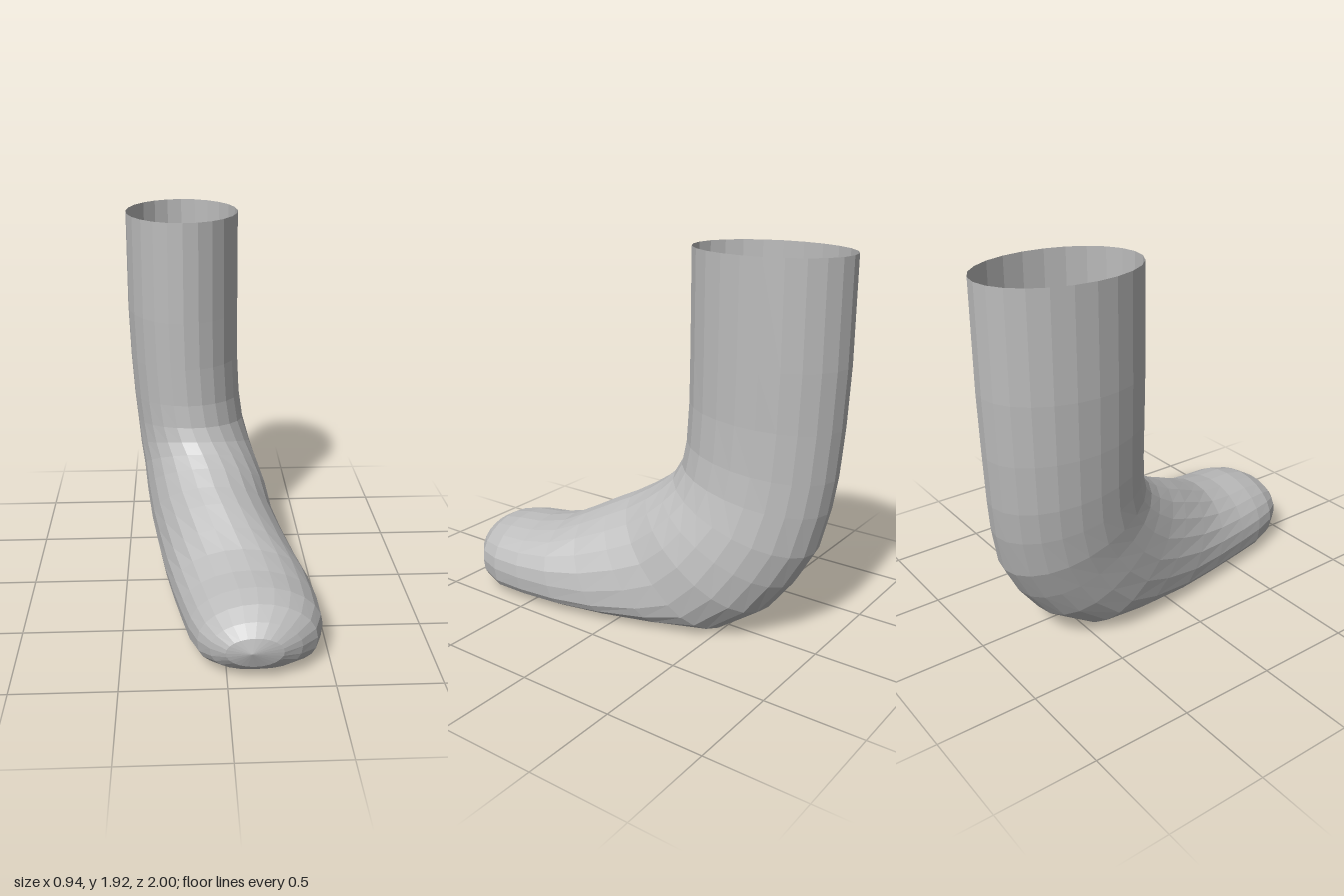
import * as THREE from 'three';

const SIDES = 24;

// Each row is one cross-section:
// upper point (z, y), lower point (z, y), right edge x, left edge x, height of the side ridge, squareness below it
const SECTIONS = [
  [-0.17, 1.92, -1.0, 1.92, -0.475, 0.13, 0.5, 2],
  [-0.17, 1.4, -1.0, 1.4, -0.475, 0.13, 0.5, 2],
  [-0.17, 1.15, -0.99, 1.1, -0.465, 0.13, 0.5, 2],
  [-0.165, 0.95, -0.975, 0.85, -0.45, 0.14, 0.5, 2],
  [-0.15, 0.83, -0.955, 0.68, -0.435, 0.16, 0.5, 2],
  [-0.12, 0.76, -0.91, 0.47, -0.42, 0.2, 0.5, 2],
  [-0.07, 0.71, -0.82, 0.3, -0.4, 0.24, 0.5, 2.1],
  [0.0, 0.66, -0.7, 0.14, -0.385, 0.28, 0.48, 2.2],
  [0.1, 0.6, -0.5, 0.01, -0.36, 0.31, 0.44, 2.5],
  [0.2, 0.55, -0.25, 0, -0.33, 0.35, 0.38, 3],
  [0.33, 0.48, 0.05, 0, -0.29, 0.405, 0.33, 3.4],
  [0.45, 0.42, 0.3, 0, -0.25, 0.45, 0.35, 3.5],
  [0.6, 0.385, 0.52, 0, -0.21, 0.47, 0.38, 3.5],
  [0.74, 0.375, 0.7, 0, -0.175, 0.47, 0.4, 3.5],
  [0.85, 0.35, 0.83, 0.01, -0.135, 0.43, 0.43, 3],
  [0.93, 0.305, 0.91, 0.04, -0.08, 0.35, 0.47, 2.5],
  [0.98, 0.25, 0.965, 0.09, -0.01, 0.26, 0.5, 2],
  [1.0, 0.18, 1.0, 0.18, 0.11, 0.11, 0.5, 2],
];

// Point on a section: round above the ridge, squarer and flat-bottomed below it
function sectionPoint([pz, py, qz, qy, xl, xr, ridge, n], angle) {
  const c = Math.cos(angle), s = Math.sin(angle);
  const power = 2 / (s < 0 ? n : 2);
  const u = Math.sign(c) * Math.abs(c) ** power;
  const v = Math.abs(s) ** power;
  const h = s < 0 ? ridge * (1 - v) : ridge + (1 - ridge) * v;
  return [(xl + xr) / 2 + u * (xr - xl) / 2, qy + (py - qy) * h, qz + (pz - qz) * h];
}

function loft(sections) {
  const positions = [], indices = [];
  sections.forEach((section, i) => {
    for (let j = 0; j < SIDES; j++) {
      positions.push(...sectionPoint(section, (j / SIDES) * Math.PI * 2));
      if (i === sections.length - 1) continue;
      const a = i * SIDES + j, b = i * SIDES + (j + 1) % SIDES;
      indices.push(a, b, a + SIDES);
      // the last ring closes to a point, so it needs single triangles only
      if (i < sections.length - 2) indices.push(b, b + SIDES, a + SIDES);
    }
  });
  const geometry = new THREE.BufferGeometry();
  geometry.setAttribute('position', new THREE.Float32BufferAttribute(positions, 3));
  geometry.setIndex(indices);
  geometry.computeVertexNormals();
  return geometry;
}

export function createModel() {
  const group = new THREE.Group();
  group.name = 'sock';
  const fabric = new THREE.MeshStandardMaterial({ color: 0xbcbcbc, flatShading: true, side: THREE.DoubleSide });
  fabric.name = 'grey fabric';

  // Open shaft, heel and foot as one continuous skin
  const sock = new THREE.Mesh(loft(SECTIONS), fabric);
  sock.name = 'shaftAndFoot';
  group.add(sock);
  return group;
}
